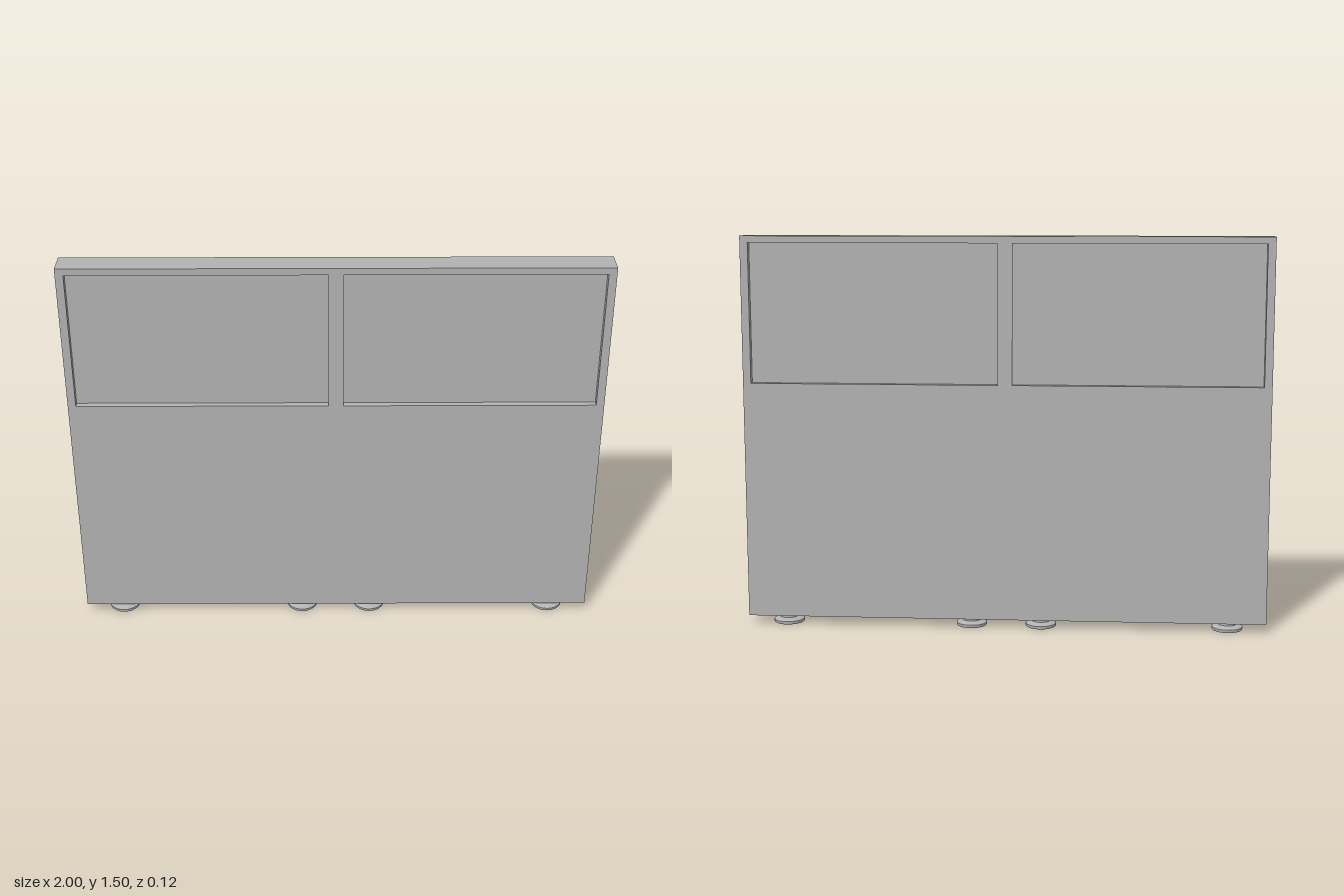
import * as THREE from 'three';

export function createModel() {
  const model = new THREE.Group();
  const grey = new THREE.MeshStandardMaterial({ color: 0xb2b2b2 });
  grey.name = 'light grey';

  const add = (name, geometry, x, y, z) => {
    const mesh = new THREE.Mesh(geometry, grey);
    mesh.name = name;
    mesh.position.set(x, y, z);
    model.add(mesh);
  };

  // Counter-clockwise rectangle points
  const rect = (x0, y0, x1, y1) => [[x0, y0], [x1, y0], [x1, y1], [x0, y1]].map(p => new THREE.Vector2(...p));

  // Screen body with two window openings
  const outline = new THREE.Shape(rect(-1, 0.033, 1, 1.503));
  for (const x of [-0.97, 0.028]) {
    outline.holes.push(new THREE.Path(rect(x, 0.945, x + 0.942, 1.477).reverse()));
  }
  add('screenBody', new THREE.ExtrudeGeometry(outline, { depth: 0.1, bevelEnabled: false }), 0, 0, -0.05);

  // Panes set back from both faces
  for (const x of [-0.499, 0.499]) {
    add('windowPane', new THREE.BoxGeometry(0.942, 0.532, 0.05), x, 1.211, 0);
  }

  // Round levelling feet: disc, domed shoulder and stem
  const profile = [
    [0, 0], [0.056, 0], [0.056, 0], [0.059, 0.003], [0.059, 0.012], [0.059, 0.012],
    [0.052, 0.018], [0.04, 0.021], [0.036, 0.022], [0.036, 0.022], [0.036, 0.034],
  ].map(p => new THREE.Vector2(...p));
  const footGeometry = new THREE.LatheGeometry(profile, 32);
  for (const x of [-0.855, -0.137, 0.132, 0.851]) {
    add('foot', footGeometry, x, 0, 0);
  }

  return model;
}
